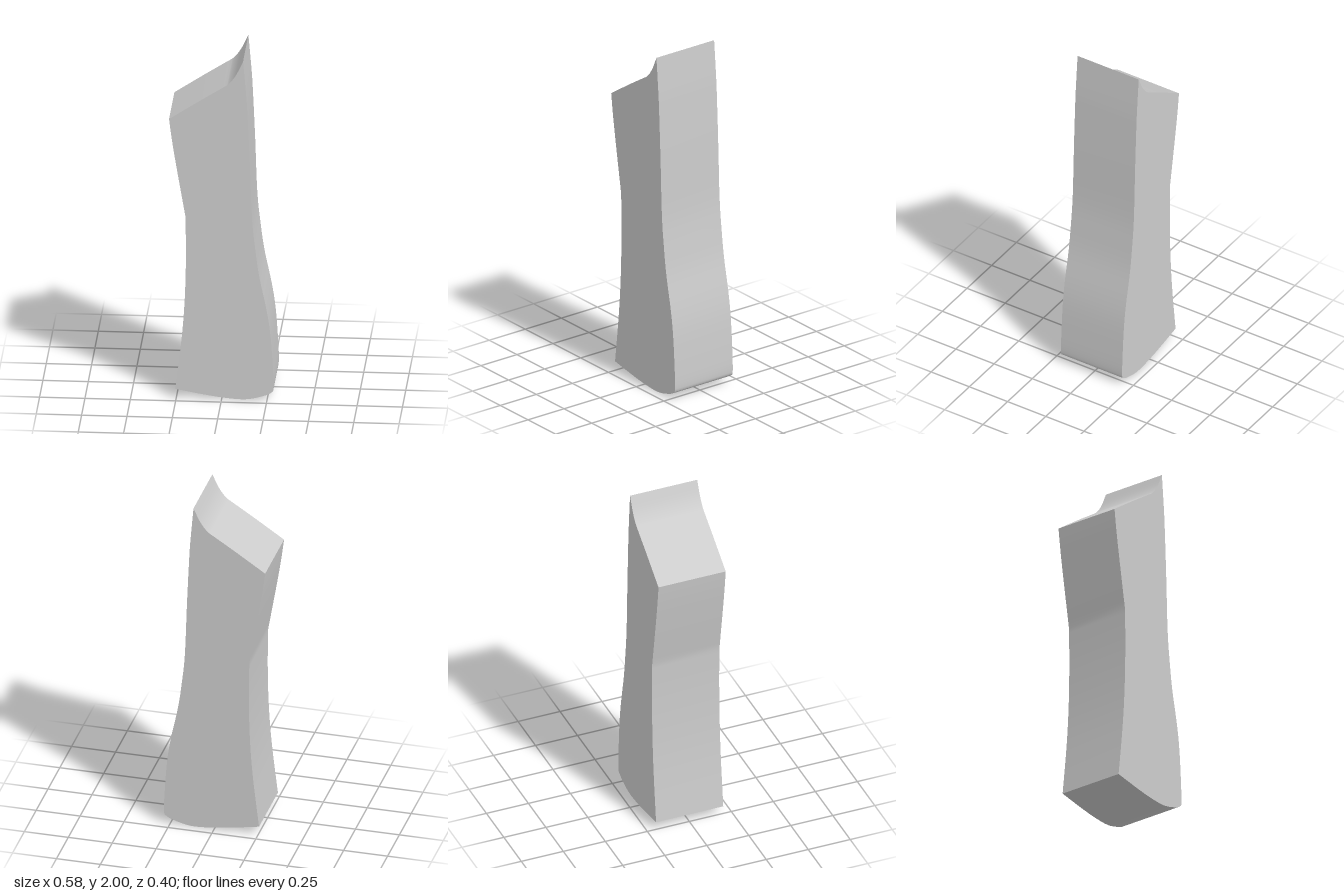
import * as THREE from 'three';
import { toCreasedNormals } from 'three/addons/utils/BufferGeometryUtils.js';

const DEPTH = 0.4;

// Smooth runs of the outline, counter-clockwise; each starts where the last ended, at a sharp corner
const START = [-0.255, 0.053];
const RUNS = [
  // rounded base
  [[-0.13, 0.03], [0, 0.01], [0.125, 0.002], [0.215, 0.02], [0.272, 0.045], [0.286, 0.08],
    // bulging right side up to the tip
    [0.28, 0.23], [0.267, 0.4], [0.246, 0.54], [0.207, 0.73], [0.185, 0.89], [0.167, 1.075],
    [0.155, 1.4], [0.142, 1.69], [0.135, 1.8], [0.118, 2]],
  // hollow below the tip, then the slope
  [[0.08, 1.92], [0.04, 1.866], [0, 1.838], [-0.1, 1.774], [-0.2, 1.708], [-0.29, 1.648]],
  // upper left side down to the waist
  [[-0.275, 1.53], [-0.25, 1.37], [-0.2, 1.075]],
  // lower left side
  [[-0.197, 0.85], [-0.203, 0.6], [-0.22, 0.36], START],
];

export function createModel() {
  const group = new THREE.Group();
  const shape = new THREE.Shape();
  shape.moveTo(...START);
  for (const run of RUNS) shape.splineThru(run.map(([x, y]) => new THREE.Vector2(x, y)));

  const extruded = new THREE.ExtrudeGeometry(shape, { depth: DEPTH, bevelEnabled: false, curveSegments: 4 });
  extruded.translate(0, 0, -DEPTH / 2);
  const body = new THREE.Mesh(
    toCreasedNormals(extruded, Math.PI / 6),
    new THREE.MeshStandardMaterial({ color: 0xcccccc }),
  );
  body.name = 'curvedBlock';
  group.add(body);
  return group;
}
